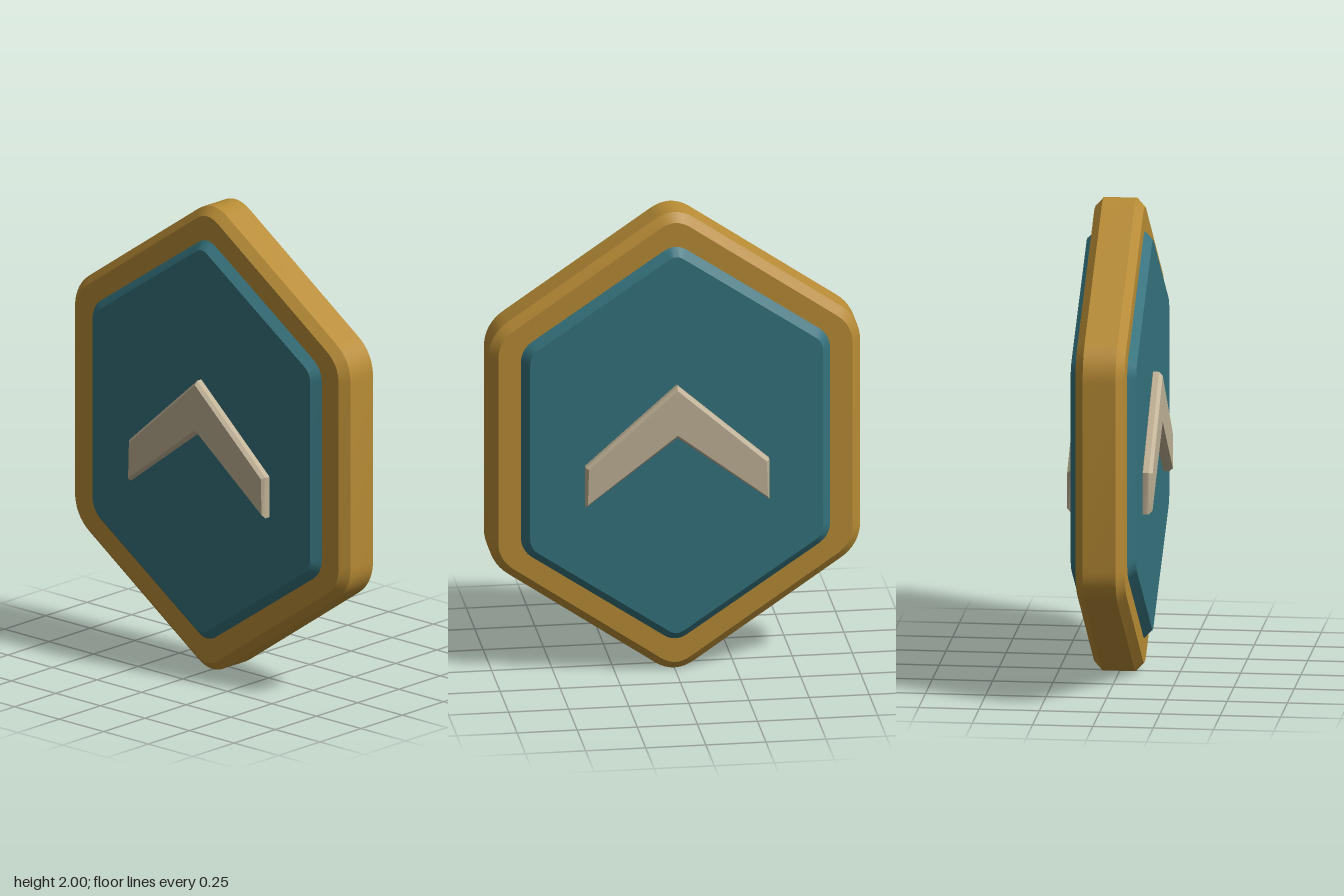
import * as THREE from 'three';
import { toCreasedNormals } from 'three/addons/utils/BufferGeometryUtils.js';

const gold = new THREE.MeshStandardMaterial({ color: 0xb78b35 });
gold.name = 'gold';
const teal = new THREE.MeshStandardMaterial({ color: 0x35727d });
teal.name = 'teal';
const cream = new THREE.MeshStandardMaterial({ color: 0xbfb195 });
cream.name = 'cream';

// Closed outline whose corners are softened by a curve starting d before each one
function roundedOutline(points, d) {
  const corners = points.map(([x, y]) => new THREE.Vector2(x, y));
  const shape = new THREE.Shape();
  corners.forEach((c, i) => {
    const prev = corners[(i + corners.length - 1) % corners.length];
    const next = corners[(i + 1) % corners.length];
    const a = c.clone().add(prev.clone().sub(c).setLength(d));
    const b = c.clone().add(next.clone().sub(c).setLength(d));
    if (i === 0) shape.moveTo(a.x, a.y);
    else shape.lineTo(a.x, a.y);
    shape.quadraticCurveTo(c.x, c.y, b.x, b.y);
  });
  shape.closePath();
  return shape;
}

// Tall hexagon with vertical sides, centred on the origin
function hexagon(halfWidth, shoulder, apex, d) {
  return roundedOutline([
    [0, apex], [-halfWidth, shoulder], [-halfWidth, -shoulder],
    [0, -apex], [halfWidth, -shoulder], [halfWidth, shoulder],
  ], d);
}

// Slab reaching halfDepth either way in z, chamfered inward from its outline
function slab(name, shape, halfDepth, bevelSize, bevelDepth, material) {
  const depth = 2 * (halfDepth - bevelDepth);
  const geometry = new THREE.ExtrudeGeometry(shape, {
    depth,
    curveSegments: 8,
    bevelEnabled: true,
    bevelSegments: 1,
    bevelSize,
    bevelThickness: bevelDepth,
    bevelOffset: -bevelSize,
  });
  geometry.translate(0, 0, -depth / 2);
  const mesh = new THREE.Mesh(toCreasedNormals(geometry, 0.5), material);
  mesh.name = name;
  return mesh;
}

export function createModel() {
  const badge = new THREE.Group();
  badge.name = 'hexagonBadge';

  // Thick outer body and the raised panel passing through it
  badge.add(slab('rim', hexagon(0.773, 0.497, 1.028, 0.1), 0.102, 0.036, 0.034, gold));
  badge.add(slab('panel', hexagon(0.643, 0.441, 0.876, 0.06), 0.136, 0.034, 0.034, teal));

  // Upward chevron on each face
  const chevron = new THREE.Shape([
    [0, 0.268], [-0.382, -0.07], [-0.382, -0.245],
    [0, 0.042], [0.382, -0.245], [0.382, -0.07],
  ].map(([x, y]) => new THREE.Vector2(x, y)));
  for (const [name, side] of [['frontChevron', 1], ['backChevron', -1]]) {
    const mesh = slab(name, chevron, 0.027, 0.012, 0.015, cream);
    mesh.position.z = side * 0.15;
    badge.add(mesh);
  }

  badge.position.y = 1;
  const model = new THREE.Group();
  model.name = 'badge';
  model.add(badge);
  return model;
}
